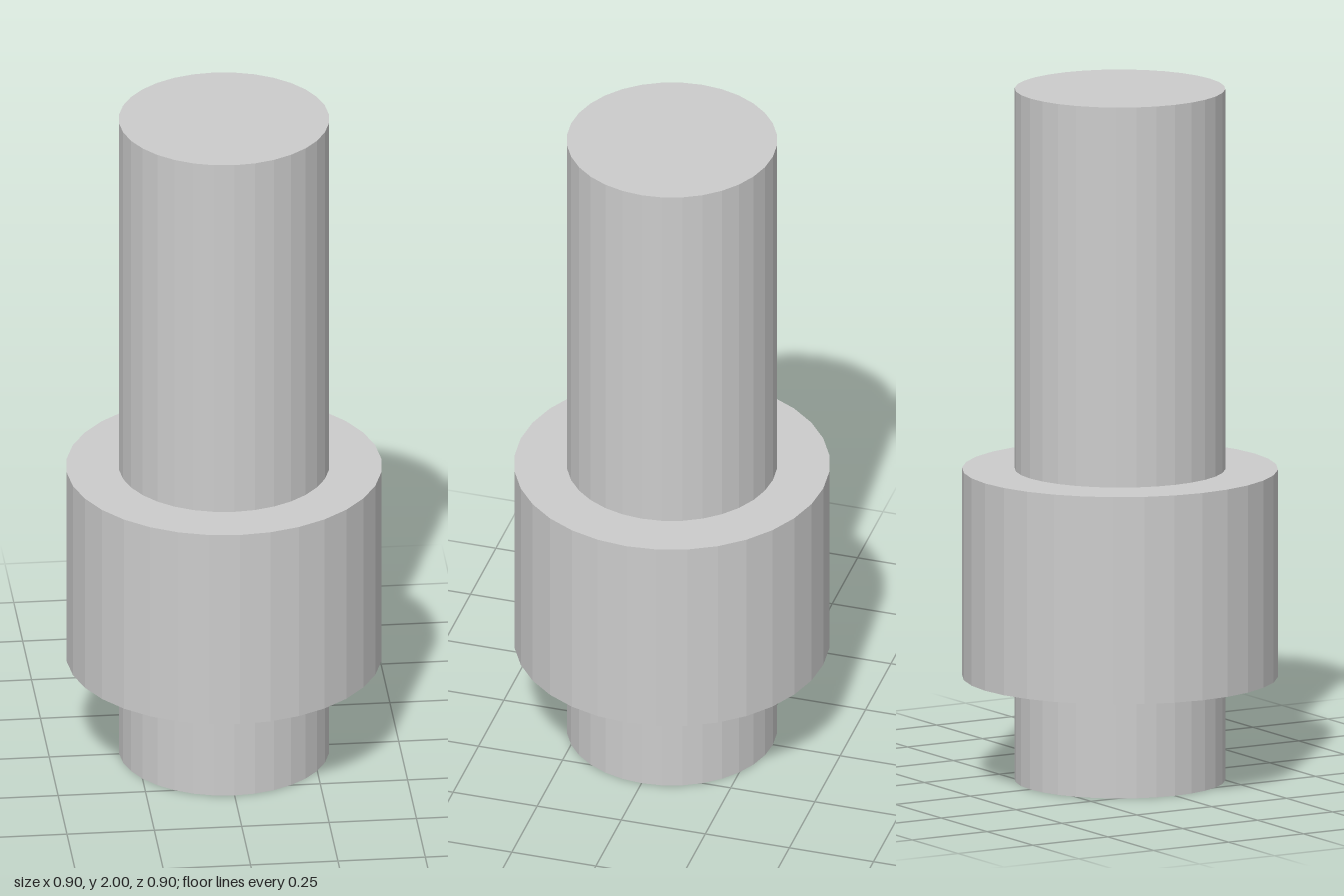
import * as THREE from 'three';

const SIDES = 32;

export function createModel() {
  const model = new THREE.Group();
  model.name = 'collaredShaft';
  const material = new THREE.MeshStandardMaterial({ color: 0xcccccc, flatShading: true });

  // Upright faceted cylinder spanning bottom to top
  function addCylinder(name, radius, bottom, top) {
    const geometry = new THREE.CylinderGeometry(radius, radius, top - bottom, SIDES);
    const mesh = new THREE.Mesh(geometry, material);
    mesh.name = name;
    mesh.position.y = (bottom + top) / 2;
    model.add(mesh);
  }

  // Full-height shaft passing through a wider collar
  addCylinder('shaft', 0.3, 0, 2);
  addCylinder('collar', 0.45, 0.3, 0.9);

  return model;
}
